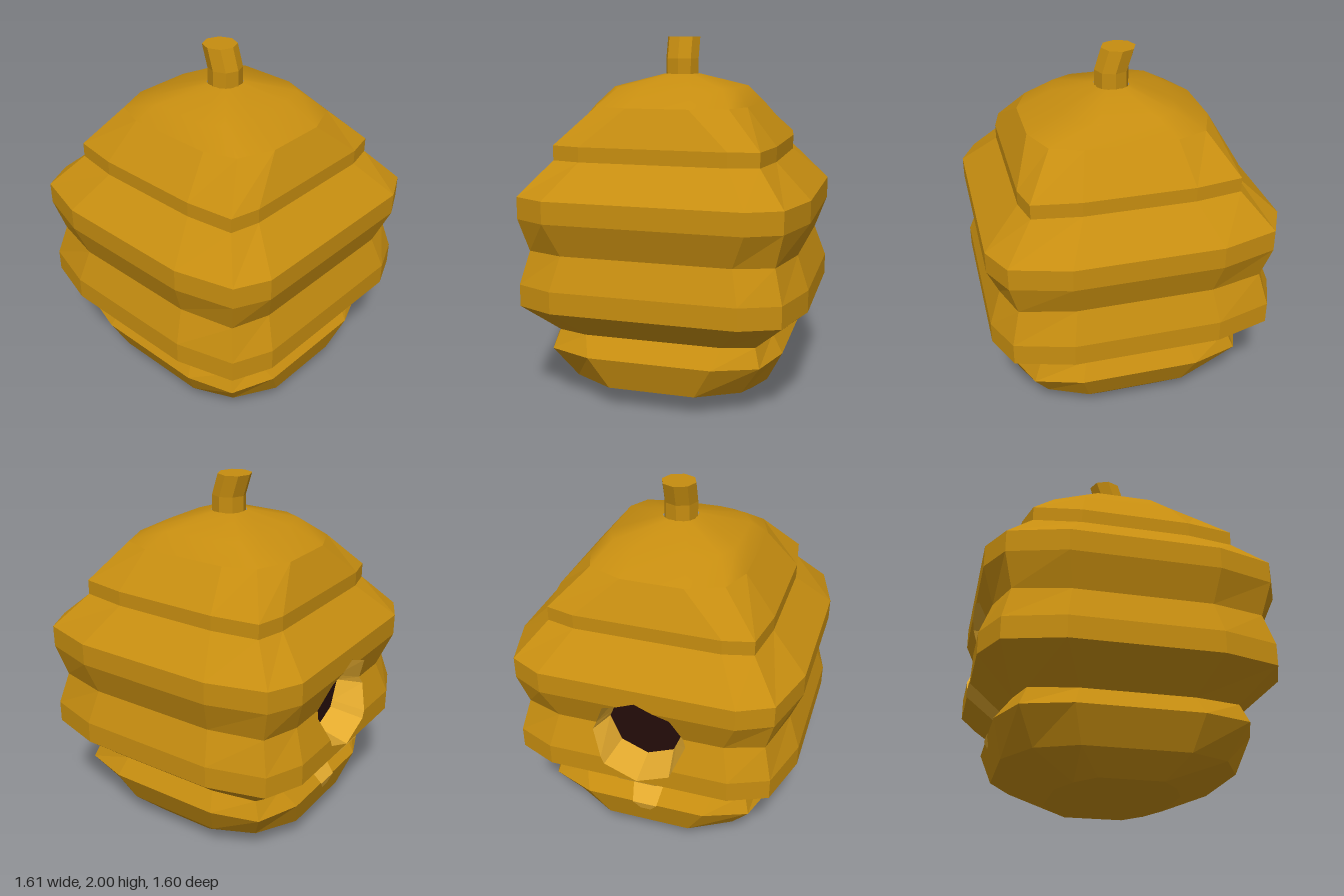
import * as THREE from 'three';

const wax = new THREE.MeshStandardMaterial({ color: 0xc68d10 });
wax.name = 'amberWax';
const honey = new THREE.MeshStandardMaterial({ color: 0xe3aa2e, side: THREE.DoubleSide });
honey.name = 'honey';
const dark = new THREE.MeshStandardMaterial({ color: 0x240c0a });
dark.name = 'darkInside';

// Cross-sections: y, half width x, half depth z, corner x, corner z, flat half x, flat half z
const RINGS = [
  [0.00, 0.34, 0.45, 0.27, 0.33, 0.17, 0.17],
  [0.12, 0.63, 0.57, 0.50, 0.47, 0.28, 0.24],
  [0.30, 0.685, 0.66, 0.59, 0.58, 0.33, 0.34],
  [0.40, 0.60, 0.60, 0.55, 0.55, 0.30, 0.38],
  [0.57, 0.80, 0.80, 0.71, 0.71, 0.40, 0.50],
  [0.69, 0.80, 0.80, 0.71, 0.71, 0.40, 0.50],
  [0.87, 0.735, 0.735, 0.665, 0.665, 0.37, 0.46],
  [1.05, 0.80, 0.80, 0.71, 0.71, 0.40, 0.53],
  [1.17, 0.80, 0.80, 0.71, 0.71, 0.40, 0.53],
  [1.35, 0.60, 0.60, 0.56, 0.56, 0.30, 0.40],
  [1.43, 0.60, 0.60, 0.56, 0.56, 0.30, 0.40],
  [1.63, 0.50, 0.43, 0.42, 0.365, 0.25, 0.17],
];
const HOLE = { y: 0.83, r: 0.26, depthX: -0.61, taper: 0.82 };

// Twelve-sided rounded square, counter-clockwise seen from above
function ringPoints([y, hx, hz, kx, kz, fx, fz]) {
  return [
    [-fx, hz], [fx, hz], [kx, kz], [hx, fz], [hx, -fz], [kx, -kz],
    [fx, -hz], [-fx, -hz], [-kx, -kz], [-hx, -fz], [-hx, fz], [-kx, kz],
  ].map(([x, z]) => [x, y, z]);
}

// Interpolated cross-section at any height
function sectionAt(y) {
  let i = 0;
  while (i < RINGS.length - 2 && y > RINGS[i + 1][0]) i++;
  const a = RINGS[i], b = RINGS[i + 1], t = (y - a[0]) / (b[0] - a[0]);
  return a.map((v, k) => v + (b[k] - v) * t);
}

// Half width of the eight-sided entrance at a height
function holeHalf(y) {
  const d = Math.min(Math.abs(y - HOLE.y), HOLE.r), c = HOLE.r * Math.SQRT1_2;
  return d <= c ? HOLE.r - (d / c) * (HOLE.r - c) : (c * (HOLE.r - d)) / (HOLE.r - c);
}

function quad(out, a, b, c, d) {
  out.push(...a, ...b, ...c, ...a, ...c, ...d);
}

function flatMesh(name, data, material) {
  const g = new THREE.BufferGeometry();
  g.setAttribute('position', new THREE.Float32BufferAttribute(data, 3));
  g.computeVertexNormals();
  const mesh = new THREE.Mesh(g, material);
  mesh.name = name;
  return mesh;
}

export function createModel() {
  const group = new THREE.Group();
  group.name = 'beehive';

  // Ridged shell; the panel holding the entrance is left open
  const shell = [];
  const rings = RINGS.map(ringPoints);
  const n = 12, panel = 9;
  for (let r = 0; r < rings.length - 1; r++) {
    const inHole = RINGS[r][0] >= 0.57 && RINGS[r + 1][0] <= 1.17;
    for (let i = 0; i < n; i++) {
      if (inHole && i === panel) continue;
      const j = (i + 1) % n;
      quad(shell, rings[r][i], rings[r][j], rings[r + 1][j], rings[r + 1][i]);
    }
  }
  for (let i = 0; i < n; i++) shell.push(0, 0, 0, ...rings[0][(i + 1) % n], ...rings[0][i]);

  // Entrance panel in slices either side of the hole, plus the tapered lining
  const c = HOLE.r * Math.SQRT1_2;
  const ys = [0.57, HOLE.y - c, 0.69, HOLE.y, 0.87, HOLE.y + c, 1.05, HOLE.y + HOLE.r, 1.17]
    .sort((a, b) => a - b);
  const lining = [];
  const inner = (y, z) => [HOLE.depthX, HOLE.y + (y - HOLE.y) * HOLE.taper, z * HOLE.taper];
  for (let i = 0; i < ys.length - 1; i++) {
    const [lo, hi] = [ys[i], ys[i + 1]].map((y) => {
      const s = sectionAt(y);
      return { y, x: -s[1], f: s[6], w: holeHalf(y) };
    });
    const at = (p, z) => [p.x, p.y, z];
    quad(shell, at(lo, -lo.f), at(lo, -lo.w), at(hi, -hi.w), at(hi, -hi.f));
    quad(shell, at(lo, lo.w), at(lo, lo.f), at(hi, hi.f), at(hi, hi.w));
    if (lo.y >= HOLE.y + HOLE.r - 1e-6) continue;
    quad(lining, at(lo, -lo.w), inner(lo.y, -lo.w), inner(hi.y, -hi.w), at(hi, -hi.w));
    quad(lining, inner(lo.y, lo.w), at(lo, lo.w), at(hi, hi.w), inner(hi.y, hi.w));
  }
  group.add(flatMesh('shell', shell, wax));
  group.add(flatMesh('entranceLining', lining, honey));

  // Dark back of the entrance
  const back = new THREE.Mesh(new THREE.CircleGeometry(HOLE.r * HOLE.taper, 8), dark);
  back.name = 'entranceBack';
  back.rotation.y = -Math.PI / 2;
  back.position.set(HOLE.depthX, HOLE.y, 0);
  group.add(back);

  // Honey drip hugging the wall below the entrance
  const drip = [];
  const path = [[0.57, 0.11], [0.4, 0.09], [0.3, 0.07], [0.25, 0.03]];
  for (let i = 0; i < path.length - 1; i++) {
    const [hi, lo] = [path[i], path[i + 1]].map(([y, w]) => ({ y, w, x: -sectionAt(y)[1] - 0.006 }));
    quad(drip, [lo.x, lo.y, -lo.w], [lo.x, lo.y, lo.w], [hi.x, hi.y, hi.w], [hi.x, hi.y, -hi.w]);
  }
  group.add(flatMesh('honeyDrip', drip, honey));

  // Smooth domed cap
  const capRings = [
    RINGS[RINGS.length - 1],
    [1.725, 0.31, 0.35, 0.27, 0.29, 0.16, 0.14],
    [1.795, 0.09, 0.09, 0.07, 0.07, 0.04, 0.04],
  ].map(ringPoints);
  const pos = capRings.flat(2), idx = [];
  for (let r = 0; r < 2; r++) {
    for (let i = 0; i < n; i++) {
      const a = r * n + i, b = r * n + ((i + 1) % n);
      idx.push(a, b, b + n, a, b + n, a + n);
    }
  }
  const capGeo = new THREE.BufferGeometry();
  capGeo.setAttribute('position', new THREE.Float32BufferAttribute(pos, 3));
  capGeo.setIndex(idx);
  capGeo.computeVertexNormals();
  const cap = new THREE.Mesh(capGeo, wax);
  cap.name = 'domeCap';
  group.add(cap);

  // Bent eight-sided stem
  const indexed = new THREE.CylinderGeometry(0.095, 0.095, 0.24, 8, 2);
  const p = indexed.attributes.position;
  for (let i = 0; i < p.count; i++) {
    if (p.getY(i) > 0.05) p.setX(i, p.getX(i) - 0.038);
  }
  const stemGeo = indexed.toNonIndexed();
  stemGeo.computeVertexNormals();
  const stem = new THREE.Mesh(stemGeo, wax);
  stem.name = 'stem';
  stem.position.y = 1.88;
  group.add(stem);

  return group;
}
